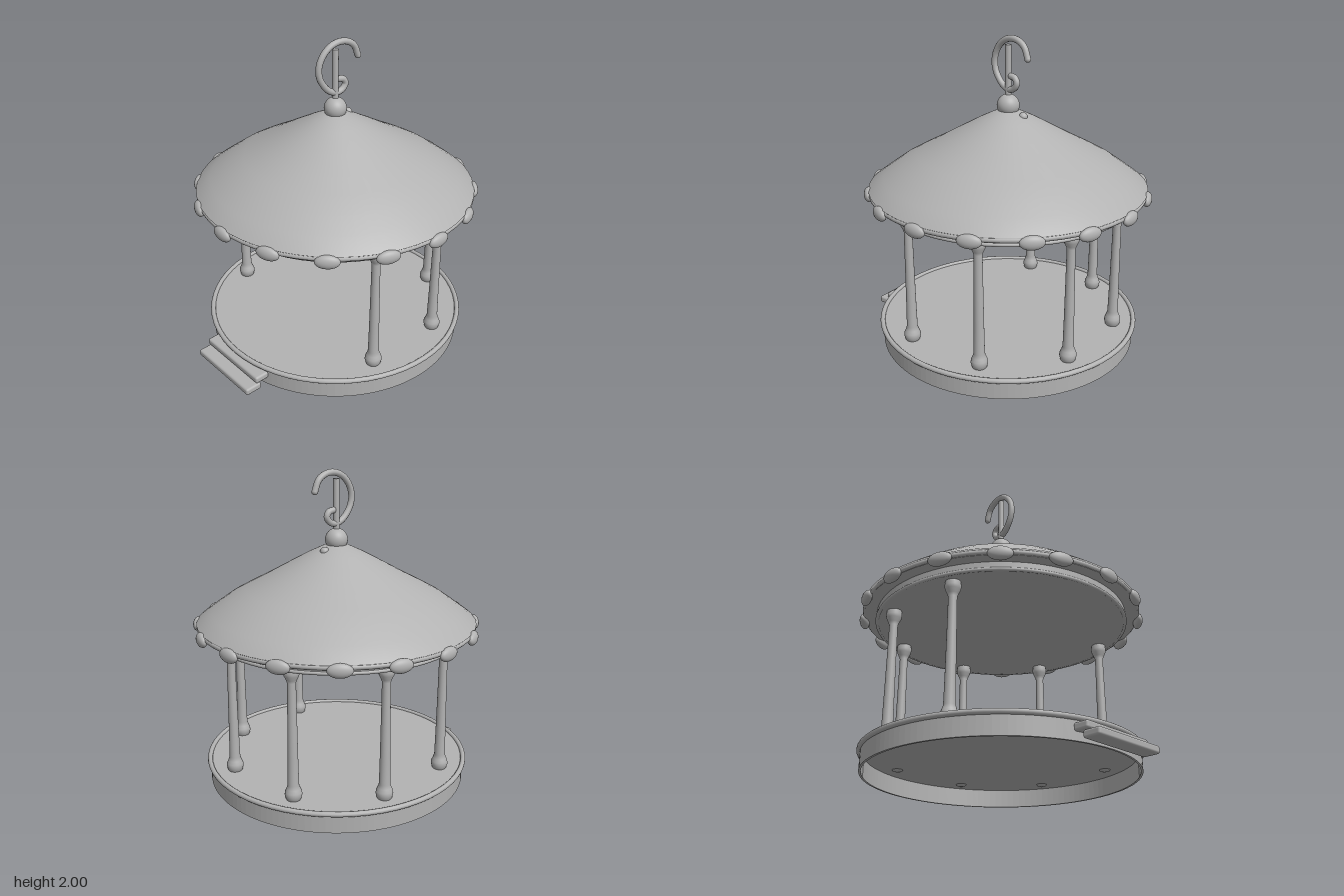
import * as THREE from 'three';
import { RoundedBoxGeometry } from 'three/addons/geometries/RoundedBoxGeometry.js';

const SEG = 64;
const CENTRE_Z = -0.02;

export function createModel() {
  const grey = new THREE.MeshStandardMaterial({ color: 0xb2b2b2 });
  grey.name = 'plain grey';

  const model = new THREE.Group();
  model.name = 'hangingGazebo';
  const body = new THREE.Group();
  body.name = 'gazebo';
  body.position.z = CENTRE_Z;
  model.add(body);

  const add = (name, geometry, x = 0, y = 0, z = 0, parent = body) => {
    const mesh = new THREE.Mesh(geometry, grey);
    mesh.name = name;
    mesh.position.set(x, y, z);
    parent.add(mesh);
    return mesh;
  };
  const lathe = (points, segments = SEG) =>
    new THREE.LatheGeometry(points.map(([r, y]) => new THREE.Vector2(r, y)), segments);
  const disc = (radius, bottom, top) =>
    new THREE.CylinderGeometry(radius, radius, top - bottom, SEG).translate(0, (top + bottom) / 2, 0);
  const ring = (radius, tube) => new THREE.TorusGeometry(radius, tube, 12, SEG).rotateX(Math.PI / 2);

  // Base: hollow wall, floor and rounded lip
  const wall = new THREE.Shape().absarc(0, 0, 0.836, 0, Math.PI * 2);
  wall.holes.push(new THREE.Path().absarc(0, 0, 0.822, 0, Math.PI * 2, true));
  add('baseWall', new THREE.ExtrudeGeometry(wall, { depth: 0.125, bevelEnabled: false, curveSegments: SEG })
    .rotateX(-Math.PI / 2), 0, 0.003);
  add('floor', disc(0.83, 0.117, 0.13));
  add('baseLip', ring(0.841, 0.016), 0, 0.129);

  // Two front steps
  add('upperStep', new RoundedBoxGeometry(0.52, 0.046, 0.097, 3, 0.014), 0, 0.077, 0.818, model);
  add('lowerStep', new RoundedBoxGeometry(0.52, 0.046, 0.112, 3, 0.014), 0, 0.026, 0.885, model);

  // Six posts on an octagon, the front pair left open as an entrance
  const postGeometry = lathe([
    [0, 0.108], [0.03, 0.11], [0.046, 0.135], [0.053, 0.16], [0.051, 0.18], [0.042, 0.2], [0.034, 0.225],
    [0.031, 0.4], [0.028, 0.65], [0.026, 0.87], [0.033, 0.89], [0.045, 0.915], [0.049, 0.935], [0.045, 0.965],
  ], 24);
  for (const i of [1, 2, 3, 4, 5, 6]) {
    const a = Math.PI / 8 + i * Math.PI / 4;
    add('post', postGeometry, Math.sin(a) * 0.707, 0, Math.cos(a) * 0.707);
  }

  // Roof: ceiling, eave and sloping cone
  add('ceiling', disc(0.795, 0.965, 1.03));
  add('ceilingEdge', ring(0.79, 0.012), 0, 0.974);
  add('eave', disc(0.872, 1.02, 1.045));
  add('eaveLip', ring(0.868, 0.016), 0, 1.037);
  add('roof', lathe([
    [0.872, 1.045], [0.884, 1.057], [0.79, 1.127], [0.685, 1.202], [0.575, 1.264], [0.455, 1.327],
    [0.32, 1.403], [0.18, 1.48], [0.07, 1.533], [0, 1.54],
  ]));

  // Oval beads around the eave
  const bead = new THREE.SphereGeometry(1, 24, 16).scale(0.074, 0.043, 0.03);
  for (let i = 0; i < 16; i++) {
    const a = i * Math.PI / 8;
    add('eaveBead', bead, Math.sin(a) * 0.883, 1.024, Math.cos(a) * 0.883).rotation.y = a;
  }
  add('roofKnob', new THREE.SphereGeometry(0.028, 20, 14), -0.005, 1.506, -0.11);

  // Finial ball and stem
  add('finialBall', new THREE.SphereGeometry(0.071, 32, 20), 0, 1.565);
  add('finialStem', new THREE.CylinderGeometry(0.02, 0.02, 0.34, 20), 0, 1.77);

  // Curled hanging hook, slightly turned about the stem
  const hook = new THREE.Group();
  hook.name = 'hook';
  body.add(hook);
  hook.rotation.y = -0.15;
  const path = [
    [-0.163, 1.872], [-0.135, 1.938], [-0.09, 1.97], [-0.035, 1.98], [0.025, 1.966], [0.075, 1.928],
    [0.11, 1.87], [0.118, 1.81], [0.1, 1.75], [0.045, 1.685], [-0.01, 1.665], [-0.052, 1.679],
    [-0.073, 1.713], [-0.058, 1.741], [-0.025, 1.75],
  ].map(([z, y]) => new THREE.Vector3(0, y, z));
  add('hookCurl', new THREE.TubeGeometry(new THREE.CatmullRomCurve3(path), 96, 0.02, 12), 0, 0, 0, hook);
  for (const end of [path[0], path[path.length - 1]]) {
    add('hookTip', new THREE.SphereGeometry(0.02, 12, 8), end.x, end.y, end.z, hook);
  }
  return model;
}
